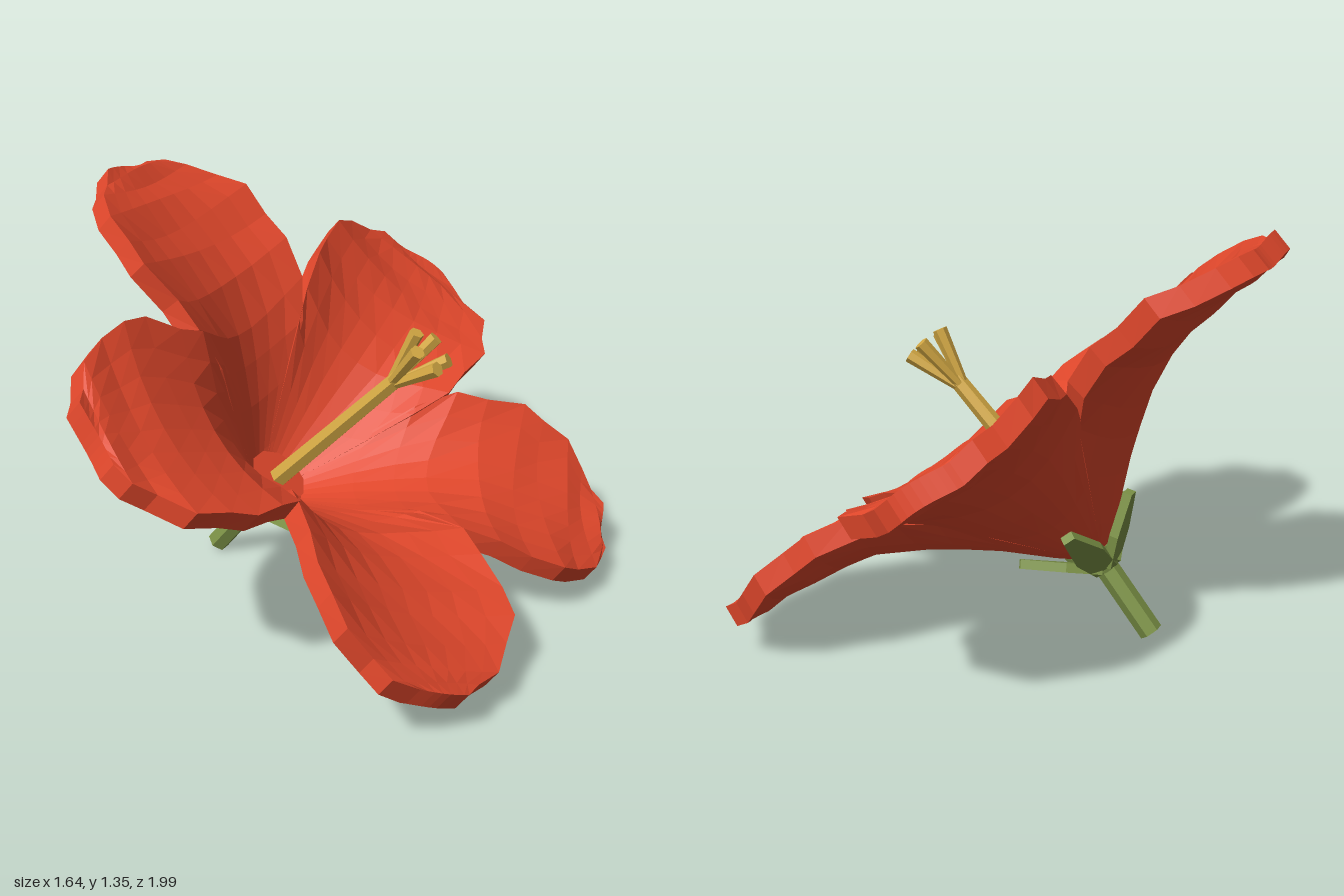
import * as THREE from 'three';

const mat = (name, color) => {
  const m = new THREE.MeshStandardMaterial({ color, flatShading: true });
  m.name = name;
  return m;
};

// Underside height of the funnel at a given radius
const PROFILE = [[0, -0.01], [0.05, 0.01], [0.2, 0.152], [0.27, 0.21], [0.5, 0.38], [0.66, 0.437], [0.85, 0.46], [1.2, 0.485]];
function funnel(r) {
  let i = 1;
  while (i < PROFILE.length - 1 && r > PROFILE[i][0]) i++;
  const [r0, a0] = PROFILE[i - 1], [r1, a1] = PROFILE[i];
  return a0 + (a1 - a0) * (r - r0) / (r1 - r0);
}

// Petal outline: distance from the centre, half width
const OUTLINE = [[0.02, 0.017], [0.12, 0.1], [0.25, 0.195], [0.36, 0.275], [0.46, 0.325], [0.58, 0.338],
  [0.7, 0.355], [0.8, 0.34], [0.9, 0.305], [0.98, 0.225], [1.03, 0.165], [1.06, 0.1]];

// A closed, cupped slab along +x with a softly scalloped rim
function petalGeometry(scale, seed) {
  const cols = 9, rows = OUTLINE.length, top = [], bottom = [], index = [];
  OUTLINE.forEach(([s0, hw], i) => {
    for (let j = 0; j < cols; j++) {
      const t = (j / (cols - 1)) * 2 - 1;
      const ripple = i > 3 ? 0.009 * Math.sin(i * 2.6 + seed + t * 2) : 0;
      const s = s0 * scale + ripple;
      const w = t * (hw + ripple);
      const r = Math.hypot(s, w);
      const cup = 0.062 * t * t * THREE.MathUtils.smoothstep(s0, 0.15, 0.45) * (1 - THREE.MathUtils.smoothstep(s0, 0.8, 1.06));
      const y = funnel(r) + cup + ripple * 0.7;
      const slope = (funnel(r + 0.04) - funnel(Math.max(r - 0.04, 0))) / 0.08;
      const thick = Math.min(0.072, 0.012 + 0.12 * r) / Math.hypot(1, slope);
      bottom.push(s, y, w);
      top.push(s - slope * thick * s / r, y + thick, w - slope * thick * w / r);
    }
  });
  const n = rows * cols;
  const wall = (a, b) => index.push(b, a, a + n, b, a + n, b + n);
  for (let i = 0; i < rows - 1; i++) {
    for (let j = 0; j < cols - 1; j++) {
      const a = i * cols + j, b = a + 1, c = a + cols, d = c + 1;
      index.push(a, b, c, b, d, c);
      index.push(a + n, c + n, b + n, b + n, c + n, d + n);
    }
    wall((i + 1) * cols, i * cols);
    wall(i * cols + cols - 1, (i + 1) * cols + cols - 1);
  }
  for (let j = 0; j < cols - 1; j++) {
    wall(j, j + 1);
    wall((rows - 1) * cols + j + 1, (rows - 1) * cols + j);
  }
  const g = new THREE.BufferGeometry();
  g.setAttribute('position', new THREE.Float32BufferAttribute([...top, ...bottom], 3));
  g.setIndex(index);
  const flat = g.toNonIndexed();
  flat.computeVertexNormals();
  return flat;
}

export function createModel() {
  const red = mat('petalRed', 0xe0472b);
  const green = mat('stemGreen', 0x7d9347);
  const yellow = mat('pistilYellow', 0xd4a944);
  const model = new THREE.Group();
  model.name = 'flower';

  // Blossom frame: local y runs along the stem, tilted towards +x
  const flower = new THREE.Group();
  flower.name = 'tiltedBlossom';
  flower.position.set(-0.28, 0.26, 0);
  flower.rotation.z = -0.669;
  model.add(flower);

  const add = (parent, name, geometry, material) => {
    const m = new THREE.Mesh(geometry, material);
    m.name = name;
    parent.add(m);
    return m;
  };

  // Five petals: angle from the uphill side, length scale
  [[-1, 1.005], [70, 0.96], [-75, 0.945], [141, 0.99], [-148, 1]].forEach(([deg, scale], i) => {
    const petal = add(flower, 'petal', petalGeometry(scale, i * 1.7), red);
    petal.rotation.y = Math.PI + THREE.MathUtils.degToRad(deg);
  });

  // Closed throat where the petals join
  add(flower, 'throat', new THREE.CylinderGeometry(0.105, 0.04, 0.1, 10), red).position.y = 0.06;

  // Stem and calyx
  add(flower, 'stem', new THREE.CylinderGeometry(0.039, 0.039, 0.32, 6), green).position.y = -0.138;
  add(flower, 'calyxCup', new THREE.CylinderGeometry(0.072, 0.038, 0.075, 10), green).position.y = -0.015;
  const outline = new THREE.Shape([[0, -0.04], [0.12, -0.052], [0.265, -0.02], [0.265, 0.02], [0.12, 0.052], [0, 0.04]]
    .map(([x, y]) => new THREE.Vector2(x, y)));
  const sepal = new THREE.ExtrudeGeometry(outline, { depth: 0.03, bevelEnabled: false });
  sepal.rotateX(-Math.PI / 2).rotateZ(0.68).translate(0.03, -0.05, 0);
  for (let i = 0; i < 5; i++) {
    add(flower, 'sepal', sepal, green).rotation.y = Math.PI + i * Math.PI * 0.4;
  }

  // Pistil with five spreading tips
  const pistil = new THREE.Group();
  pistil.name = 'pistil';
  pistil.position.y = 0.085;
  pistil.rotation.z = -0.1;
  flower.add(pistil);
  add(pistil, 'pistilColumn', new THREE.CylinderGeometry(0.028, 0.036, 0.67, 6), yellow).position.y = 0.335;
  const up = new THREE.Vector3(0, 1, 0);
  for (let i = 0; i < 5; i++) {
    const a = Math.PI + i * Math.PI * 0.4;
    const from = new THREE.Vector3(Math.cos(a) * 0.012, 0.64, -Math.sin(a) * 0.012);
    const to = new THREE.Vector3(Math.cos(a) * 0.07, 0.815, -Math.sin(a) * 0.07);
    const dir = to.clone().sub(from);
    const tip = add(pistil, 'pistilTip', new THREE.CylinderGeometry(0.024, 0.016, dir.length(), 6), yellow);
    tip.position.copy(from).add(to).multiplyScalar(0.5);
    tip.quaternion.setFromUnitVectors(up, dir.normalize());
  }
  return model;
}
